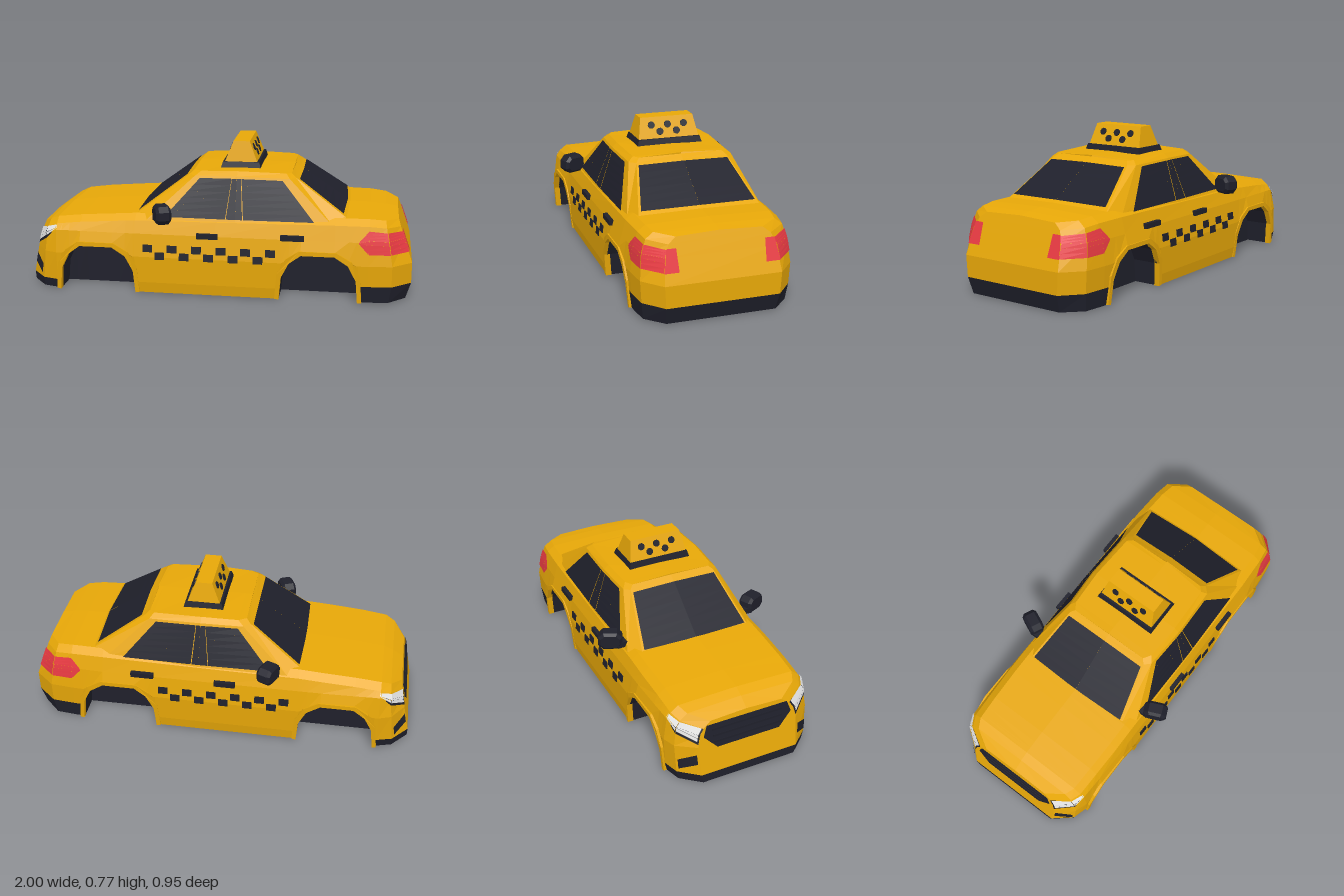
import * as THREE from 'three';

const V = (x, y, z) => new THREE.Vector3(x, y, z);
const material = (name, color) =>
  Object.assign(new THREE.MeshStandardMaterial({ color, flatShading: true }), { name });

// Piecewise linear lookup in [[x, value], ...]
function lookup(table, x) {
  let i = 0;
  while (i < table.length - 2 && x > table[i + 1][0]) i++;
  const [a, va] = table[i], [b, vb] = table[i + 1];
  return va + (vb - va) * (x - a) / (b - a);
}

// Collects flat quads, optionally mirrored across the centre plane
class Quads {
  constructor() { this.pos = []; }
  tri(a, b, c) {
    const area = b.clone().sub(a).cross(c.clone().sub(a)).length();
    if (area > 1e-8) for (const p of [a, b, c]) this.pos.push(p.x, p.y, p.z);
  }
  quad(a, b, c, d) { this.tri(a, b, c); this.tri(a, c, d); }
  both(a, b, c, d) {
    this.quad(a, b, c, d);
    const [ma, mb, mc, md] = [a, b, c, d].map(p => V(p.x, p.y, -p.z));
    this.quad(md, mc, mb, ma);
  }
  mesh(name, mat) {
    const g = new THREE.BufferGeometry();
    g.setAttribute('position', new THREE.Float32BufferAttribute(this.pos, 3));
    g.computeVertexNormals();
    const m = new THREE.Mesh(g, mat);
    m.name = name;
    return m;
  }
}

// Point on a grid of rows at fractional column s and row r
function sample(grid, s, r) {
  const i = Math.min(Math.floor(s), grid[0].length - 2), j = Math.min(Math.floor(r), grid.length - 2);
  const lo = grid[j][i].clone().lerp(grid[j][i + 1], s - i);
  return lo.lerp(grid[j + 1][i].clone().lerp(grid[j + 1][i + 1], s - i), r - j);
}

// Thin mirrored panel just above a grid, between columns s0 and s1;
// its lower and upper rows run from the first to the second value of lo and hi
function patch(grid, s0, s1, lo, hi, name, mat, lift = 0.005) {
  const q = new Quads(), ss = [s0], steps = 6;
  for (let k = Math.floor(s0) + 1; k < s1; k++) ss.push(k);
  ss.push(s1);
  const at = (s, v) => {
    const t = (s - s0) / (s1 - s0);
    return sample(grid, s, THREE.MathUtils.lerp(lo[0] + (lo[1] - lo[0]) * t, hi[0] + (hi[1] - hi[0]) * t, v));
  };
  for (let i = 0; i < ss.length - 1; i++) for (let j = 0; j < steps; j++) {
    const a = ss[i], b = ss[i + 1] - 1e-6, v = j / steps, w = (j + 1) / steps;
    const c = [at(a, v), at(b, v), at(b, w), at(a, w)];
    const n = c[2].clone().sub(c[0]).cross(c[3].clone().sub(c[1])).normalize().multiplyScalar(lift);
    q.both(...c.map(p => p.add(n)));
  }
  return q.mesh(name, mat);
}

const ARCH = [[-0.2, 0], [-0.19, 0.12], [-0.15, 0.2], [-0.09, 0.245], [0.08, 0.245], [0.15, 0.2], [0.19, 0.12], [0.2, 0]];
const WHEELS = [-0.62, 0.53];
const WIDTH = [[-1, 0.27], [-0.92, 0.365], [-0.84, 0.388], [-0.6, 0.397], [0, 0.398], [0.6, 0.398], [0.78, 0.39], [0.9, 0.378], [1, 0.29]];
const DECK = [[-1, 0.32], [-0.92, 0.357], [-0.84, 0.378], [-0.7, 0.395], [-0.42, 0.415], [0, 0.42], [0.6, 0.43], [0.78, 0.428], [0.9, 0.42], [1, 0.41]];
const noseX = y => Math.max(0, y - 0.05) * 0.2;
const tailX = y => -Math.max(0, y - 0.2) * 0.35 - Math.max(0, 0.09 - y) * 0.3;

// Half cross-sections of the lower body, from the floor centre up to the deck centre
function bodyGrid() {
  const arch = c => ARCH.map(([dx, y]) => [c + dx, y]);
  const stations = [[-1, 0], [-0.92, 0], [-0.84, 0], ...arch(WHEELS[0]), [0, 0], ...arch(WHEELS[1]), [0.78, 0], [0.9, 0], [1, 0]];
  const last = stations.length - 1;
  const sections = stations.map(([x, a], i) => {
    const w = lookup(WIDTH, x), d = lookup(DECK, x);
    const inner = Math.min(0.24, w - 0.03);
    const trim = x < -0.8 ? 0.05 : x > 0.7 ? 0.09 : 0.06;
    const front = [1, 0.5][i] ?? 0, rear = [1, 0.5][last - i] ?? 0;
    return [
      [0.003, 0], [0.003, inner], [Math.max(a, 0.003), inner], [Math.max(a, 0.003), w - 0.017],
      [Math.max(trim, a + 0.01), w - 0.007], [Math.max(0.2, a + 0.02), w],
      [Math.min(0.32, d - 0.06), w - 0.015], [d - 0.03, w - 0.036], [d, w - 0.075], [d + 0.008, 0],
    ].map(([y, z]) => V(x + front * noseX(y) + rear * tailX(y), y, z));
  });
  const grid = sections[0].map((_, r) => sections.map(s => s[r]));
  return { grid, stations, last };
}

function addBody(car, mats) {
  const { grid, stations, last } = bodyGrid();
  const paint = new Quads(), dark = new Quads(), floor = new Quads();
  for (let r = 0; r < 9; r++) {
    for (let s = 0; s < last; s++) {
      const end = s < 3 || s >= last - 4;
      const well = stations[s][1] + stations[s + 1][1] > 0;
      const isDark = r < 3 ? end || (well && r > 0) : r === 3 && end && !well;
      const skin = isDark ? dark : r < 3 ? floor : paint;
      skin.both(grid[r][s], grid[r][s + 1], grid[r + 1][s + 1], grid[r + 1][s]);
    }
    // Flat nose and tail
    if (r >= 3) {
      const m = p => V(p.x, p.y, -p.z);
      const cap = r === 3 ? dark : paint;
      const [a, b, c, d] = [grid[r][0], grid[r + 1][0], grid[r][last], grid[r + 1][last]];
      cap.quad(m(a), a, b, m(b));
      cap.quad(c, m(c), m(d), d);
    }
  }
  car.add(paint.mesh('body', mats.yellow), dark.mesh('bumpersAndWheelWells', mats.dark), floor.mesh('floor', mats.floor));

  // Lamps and fog recesses wrapping the corners
  car.add(patch(grid, 0.01, 1.5, [5.25, 5.9], [7, 6.5], 'headlightSurrounds', mats.dark, 0.003));
  car.add(patch(grid, 0.08, 2.15, [5.5, 6.25], [7, 6.75], 'headlights', mats.white, 0.006));
  car.add(patch(grid, 0.08, 0.9, [4.4, 4.15], [4.75, 4.5], 'fogRecesses', mats.dark));
  car.add(patch(grid, 19, 20, [5.95, 5.5], [6, 6.72], 'tailLightTips', mats.red));
  car.add(patch(grid, 20, 22, [5.5, 5.47], [6.72, 6.6], 'tailLightSides', mats.red));
  const tail = new Quads(), t = (y, z) => V(1.005 + tailX(y), y, z);
  tail.both(t(0.256, 0.287), t(0.256, 0.215), t(0.362, 0.22), t(0.362, 0.267));
  car.add(tail.mesh('tailLightBacks', mats.red));

  // Grille with slats
  const grille = new Quads(), n = (y, z) => V(-1.006 + noseX(y), y, z);
  grille.quad(n(0.18, -0.17), n(0.18, 0.17), n(0.25, 0.24), n(0.25, -0.24));
  grille.quad(n(0.25, -0.24), n(0.25, 0.24), n(0.305, 0.22), n(0.305, -0.22));
  car.add(grille.mesh('grille', mats.dark));
  for (const y of [0.21, 0.242, 0.275]) box(car, 'grilleSlat', mats.dark, [0.014, 0.012, 0.38], [-1 + noseX(y), y, 0]);
}

function box(parent, name, mat, size, at) {
  const m = new THREE.Mesh(new THREE.BoxGeometry(...size), mat);
  m.position.set(...at);
  m.name = name;
  parent.add(m);
  return m;
}

// Cabin: rings from belt line to roof, front centre to rear centre
function addCabin(car, mats) {
  const grid = [
    [[-0.445, 0.40, 0], [-0.435, 0.40, 0.305], [-0.36, 0.39, 0.355], [0.1, 0.39, 0.36], [0.6, 0.39, 0.352], [0.705, 0.40, 0.322], [0.72, 0.405, 0]],
    [[-0.15, 0.62, 0], [-0.15, 0.615, 0.24], [-0.12, 0.61, 0.268], [0.1, 0.615, 0.28], [0.37, 0.61, 0.272], [0.4, 0.61, 0.24], [0.405, 0.615, 0]],
    [[-0.13, 0.635, 0], [-0.13, 0.632, 0.22], [-0.09, 0.632, 0.245], [0.1, 0.638, 0.255], [0.35, 0.632, 0.245], [0.375, 0.63, 0.22], [0.38, 0.632, 0]],
  ].map(row => row.map(p => V(...p)));
  grid.push(grid[2].map(p => V(p.x, 0.64, 0)));
  const q = new Quads();
  for (let r = 0; r < 3; r++) for (let s = 0; s < 6; s++) q.both(grid[r][s], grid[r][s + 1], grid[r + 1][s + 1], grid[r + 1][s]);
  car.add(q.mesh('cabin', mats.yellow));
  for (const [name, s0, s1, lo, hi] of [
    ['windshield', 0, 0.96, 0.08, 0.95], ['rearWindow', 5.04, 6, 0.2, 0.95],
    ['frontSideWindows', 2.17, 2.885, 0.07, 0.95], ['doorPillars', 2.893, 3.075, 0.07, 0.95], ['rearSideWindows', 3.085, 3.83, 0.07, 0.95],
  ]) car.add(patch(grid, s0, s1, [lo, lo], [hi, hi], name, mats.dark));
}

// Roof sign on a dark base, with dots on both broad faces
function addSign(car, mats) {
  const taper = (name, mat, [x, z], [tx, tz], y0, y1) => {
    const m = box(car, name, mat, [x, y1 - y0, z], [0.105, (y0 + y1) / 2, 0]);
    const p = m.geometry.attributes.position;
    for (let i = 0; i < p.count; i++) if (p.getY(i) > 0) p.setXYZ(i, p.getX(i) * tx / x, p.getY(i), p.getZ(i) * tz / z);
    m.geometry.computeVertexNormals();
  };
  taper('signBase', mats.dark, [0.215, 0.355], [0.19, 0.33], 0.625, 0.667);
  taper('roofSign', mats.yellow, [0.17, 0.325], [0.085, 0.285], 0.665, 0.772);
  for (const side of [-1, 1]) for (const [y, z] of [[0.733, -0.088], [0.733, 0], [0.733, 0.088], [0.7, -0.045], [0.7, 0.045]]) {
    const dot = new THREE.Mesh(new THREE.CylinderGeometry(0.019, 0.019, 0.006, 10), mats.dark);
    dot.name = 'signDot';
    dot.position.set(0.105 + side * (0.085 - (y - 0.665) * 0.397 + 0.001), y, z);
    dot.rotation.z = -side * (Math.PI / 2 - 0.378);
    car.add(dot);
  }
}

// Arch lips, handles, checks and mirrors on both sides
function addSideDetails(car, mats) {
  const outer = ARCH.map(([x, y]) => [x * 1.11, y ? y + 0.022 : 0.004]);
  const lip = new THREE.Shape([...outer, ...[...ARCH].reverse()].map(p => new THREE.Vector2(...p)));
  const c = 0.018, w = 0.048, h = 0.034;
  const oct = new THREE.Shape([[-w, -h + c], [-w + c, -h], [w - c, -h], [w, -h + c], [w, h - c], [w - c, h], [-w + c, h], [-w, h - c]]
    .map(p => new THREE.Vector2(...p)));
  const mirrorGeo = new THREE.ExtrudeGeometry(oct, { depth: 0.05, bevelThickness: 0.014, bevelSize: 0.013, bevelSegments: 1 });
  mirrorGeo.translate(0, 0, -0.025);
  for (const side of [-1, 1]) {
    // Lips lean inward toward the sill
    const lipGeo = new THREE.ExtrudeGeometry(lip, { depth: 0.03, bevelEnabled: false });
    lipGeo.translate(0, 0, side > 0 ? 0.373 : -0.403);
    const p = lipGeo.attributes.position;
    for (let i = 0; i < p.count; i++) p.setZ(i, p.getZ(i) + side * Math.min(0, p.getY(i) - 0.2) * 0.08);
    lipGeo.computeVertexNormals();
    for (const x of WHEELS) {
      const m = new THREE.Mesh(lipGeo, mats.yellow);
      m.name = 'wheelArchLip';
      m.position.x = x;
      car.add(m);
    }
    box(car, 'frontDoorHandle', mats.dark, [0.11, 0.026, 0.032], [-0.04, 0.322, side * 0.383]);
    box(car, 'rearDoorHandle', mats.dark, [0.12, 0.026, 0.032], [0.395, 0.331, side * 0.383]);
    for (let i = 0; i < 11; i++) {
      const low = i % 2;
      const check = box(car, 'check', mats.dark, [0.05, 0.038, 0.009], [-0.35 + i * 0.0635, low ? 0.208 : 0.246, side * (low ? 0.3965 : 0.3925)]);
      check.rotation.x = -side * 0.12;
    }
    const mirror = new THREE.Mesh(mirrorGeo, mats.dark);
    mirror.name = 'sideMirror';
    mirror.position.set(-0.268, 0.438, side * 0.41);
    mirror.rotation.y = Math.PI / 2 + side * 0.42;
    car.add(mirror);
    box(car, 'mirrorArm', mats.dark, [0.05, 0.03, 0.06], [-0.295, 0.415, side * 0.36]);
  }
}

export function createModel() {
  const mats = {
    yellow: material('yellow paint', 0xe8a808),
    dark: material('dark trim', 0x1f202b),
    floor: material('dark underside', 0x5e4a1c),
    red: material('red lamp', 0xe83a42),
    white: material('white lamp', 0xe4e4e4),
  };
  const car = new THREE.Group();
  car.name = 'taxi';
  addBody(car, mats);
  addCabin(car, mats);
  addSign(car, mats);
  addSideDetails(car, mats);
  return car;
}
